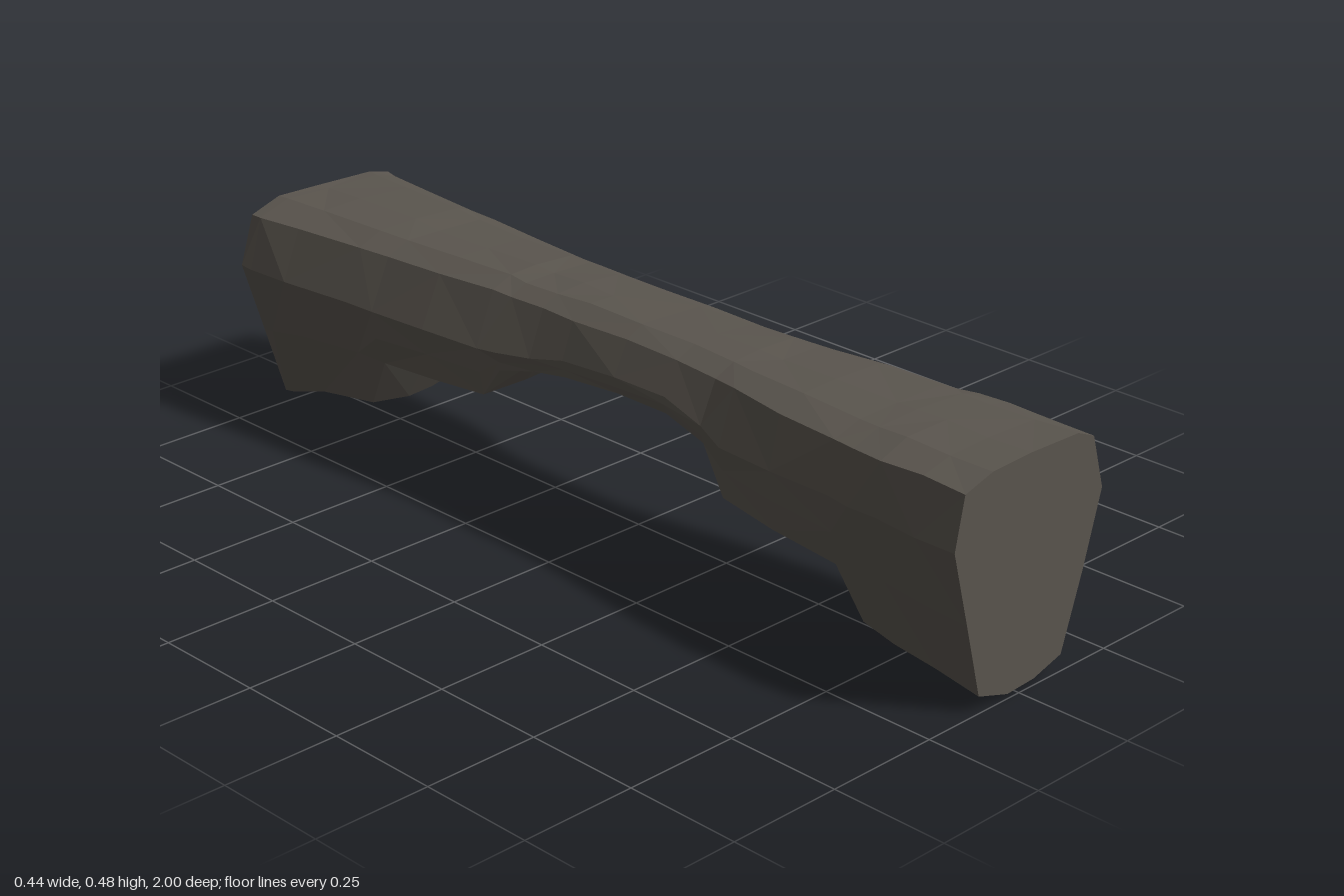
import * as THREE from 'three';

// Stations along the beam: z, underside y
const UNDERSIDE = [
  [1, 0.015], [0.9, 0.035], [0.8, 0.052], [0.73, 0.08], [0.68, 0.205], [0.53, 0.225],
  [0.39, 0.245], [0.33, 0.335], [0.22, 0.36], [0.08, 0.356], [-0.07, 0.348], [-0.16, 0.33],
  [-0.25, 0.31], [-0.3, 0.245], [-0.45, 0.232], [-0.6, 0.225], [-0.68, 0.09], [-0.86, 0.052],
  [-0.97, 0.01], [-1, 0.005],
];
// Width control points: z, widest left x, widest right x, top edge left x, top edge right x
const WIDTHS = [
  [1, -0.2, 0.212, -0.182, 0.182], [0.65, -0.182, 0.213, -0.168, 0.172],
  [0.45, -0.173, 0.18, -0.14, 0.15], [0.25, -0.15, 0.152, -0.11, 0.132],
  [0, -0.144, 0.15, -0.11, 0.13], [-0.15, -0.15, 0.155, -0.112, 0.132],
  [-0.45, -0.182, 0.18, -0.128, 0.142], [-0.75, -0.207, 0.197, -0.158, 0.168],
  [-1, -0.222, 0.22, -0.188, 0.195],
];

function seeded(seed) {
  return () => {
    seed = (seed * 16807) % 2147483647;
    return seed / 2147483647 - 0.5;
  };
}

function widthsAt(z) {
  let i = 0;
  while (i < WIDTHS.length - 2 && z < WIDTHS[i + 1][0]) i++;
  const [a, b] = [WIDTHS[i], WIDTHS[i + 1]];
  const t = (a[0] - z) / (a[0] - b[0]);
  return a.slice(1).map((v, k) => THREE.MathUtils.lerp(v, b[k + 1], t));
}

// Cross-section, counter-clockwise seen from the front
function section([z, low], noise) {
  const [wl, wr, tl, tr] = widthsAt(z);
  const wideY = Math.max(0.355, low + 0.04);
  const foot = THREE.MathUtils.clamp(1 - low / 0.2, 0, 1);
  const half = Math.min(0.114 + low * 0.22, wr - 0.012, -wl - 0.012);
  const cornerR = low + 0.025, cornerL = low + 0.025 * foot + 0.004;
  // Side point between the lower corner and the widest line
  const side = (x, cx, cy, t) => [
    THREE.MathUtils.lerp(cx, x, t + 0.02), THREE.MathUtils.lerp(cy, wideY, t)];
  const points = [
    [-0.03, low], [0.04, low + 0.004],
    [half, cornerR], side(wr, half, cornerR, 0.5), [wr, wideY], [tr, 0.467],
    [tr * 0.72, 0.483], [0, 0.487], [tl * 0.6, 0.486],
    [tl, 0.466], [wl, wideY], side(wl, -half, cornerL, 0.5), [-half, cornerL],
  ];
  return points.map(([x, y], i) => new THREE.Vector3(
    x + noise() * 0.008, y + (i < 2 ? 0 : noise() * 0.006), z));
}

function beamGeometry() {
  const noise = seeded(4711);
  const rings = UNDERSIDE.map((s) => section(s, noise));
  const n = rings[0].length, positions = [];
  const tri = (...corners) => corners.forEach((p) => positions.push(p.x, p.y, p.z));
  // Skin between neighbouring sections
  for (let i = 0; i < rings.length - 1; i++) {
    for (let j = 0; j < n; j++) {
      const k = (j + 1) % n;
      const a = rings[i][j], b = rings[i][k], c = rings[i + 1][k], d = rings[i + 1][j];
      if ((i + j) % 2) { tri(a, d, c); tri(a, c, b); }
      else { tri(a, d, b); tri(b, d, c); }
    }
  }
  // Flat ends
  const front = new THREE.Vector3(0.01, 0.26, 1), back = new THREE.Vector3(0, 0.26, -1);
  const last = rings[rings.length - 1];
  for (let j = 0; j < n; j++) {
    const k = (j + 1) % n;
    tri(front, rings[0][j], rings[0][k]);
    tri(back, last[k], last[j]);
  }
  const geometry = new THREE.BufferGeometry();
  geometry.setAttribute('position', new THREE.Float32BufferAttribute(positions, 3));
  geometry.computeVertexNormals();
  return geometry;
}

export function createModel() {
  const group = new THREE.Group();
  group.name = 'rockBridge';
  const stone = new THREE.MeshStandardMaterial({ color: 0x5a554e, flatShading: true });
  stone.name = 'darkStone';
  const beam = new THREE.Mesh(beamGeometry(), stone);
  beam.name = 'steppedStoneBeam';
  group.add(beam);
  return group;
}
